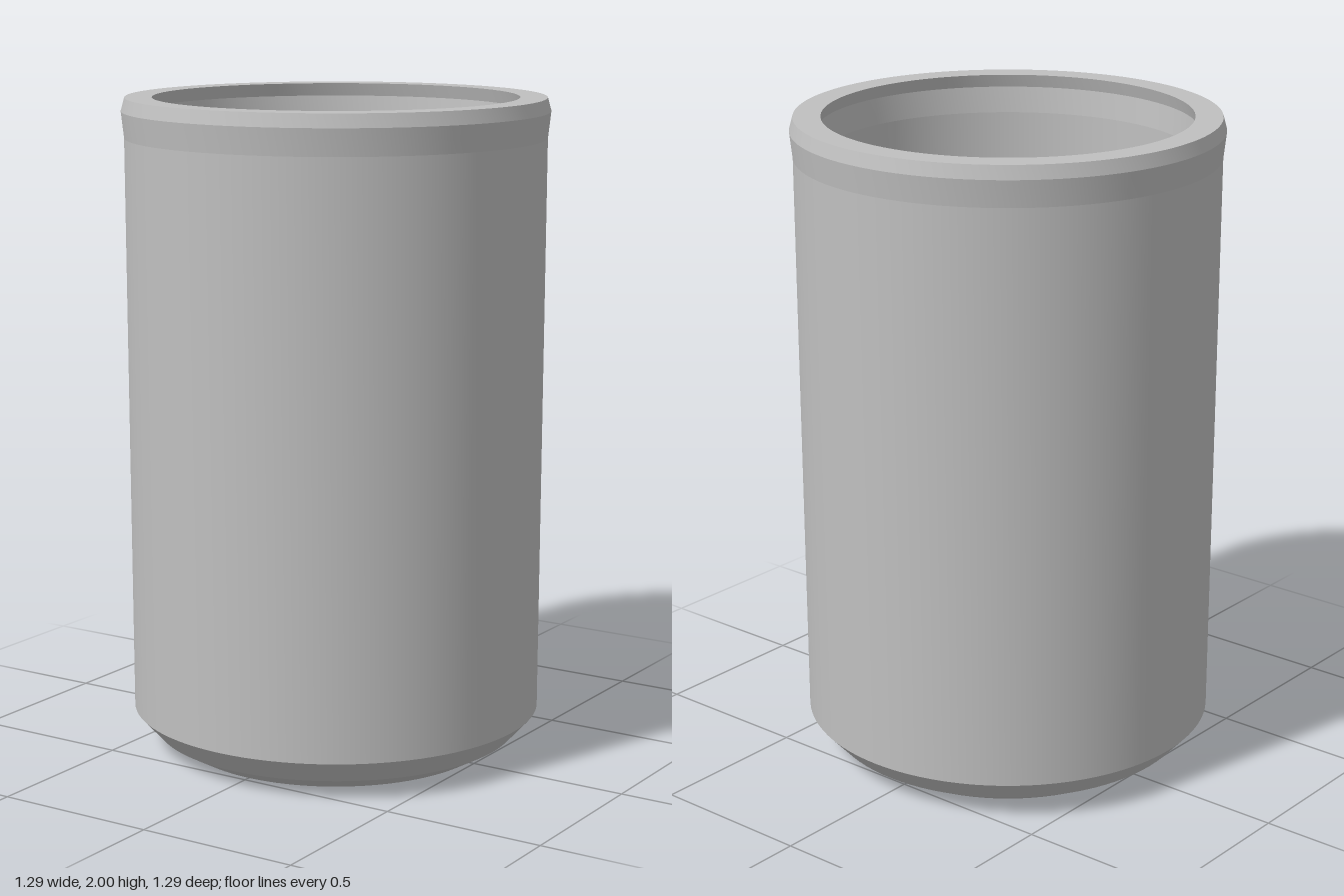
import * as THREE from 'three';
import { toCreasedNormals } from 'three/addons/utils/BufferGeometryUtils.js';

const SIDES = 96;

export function createModel() {
  const group = new THREE.Group();
  group.name = 'cup';

  const grey = new THREE.MeshStandardMaterial({ color: 0xc0c0c0 });
  grey.name = 'plain grey';

  // Turns a radius/height profile into a part with crisp bands
  const addTurned = (name, profile) => {
    const points = profile.map(([r, y]) => new THREE.Vector2(r, y));
    const geometry = toCreasedNormals(new THREE.LatheGeometry(points, SIDES), 0.15);
    const mesh = new THREE.Mesh(geometry, grey);
    mesh.name = name;
    group.add(mesh);
  };

  // Underside with its two bevels
  addTurned('base', [[0, 0], [0.48, 0], [0.56, 0.045], [0.628, 0.12]]);
  // Slightly tapered outer wall
  addTurned('outerWall', [[0.628, 0.12], [0.634, 1.88]]);
  // Flared lip, hollowed by the same amount inside
  addTurned('rim', [
    [0.634, 1.88], [0.643, 1.96], [0.632, 2],
    [0.55, 2], [0.562, 1.96], [0.553, 1.88],
  ]);
  // Inner wall, bevel and floor
  addTurned('innerWall', [[0.553, 1.88], [0.55, 0.15]]);
  addTurned('floor', [[0.55, 0.15], [0.507, 0.1], [0, 0.1]]);

  return group;
}
